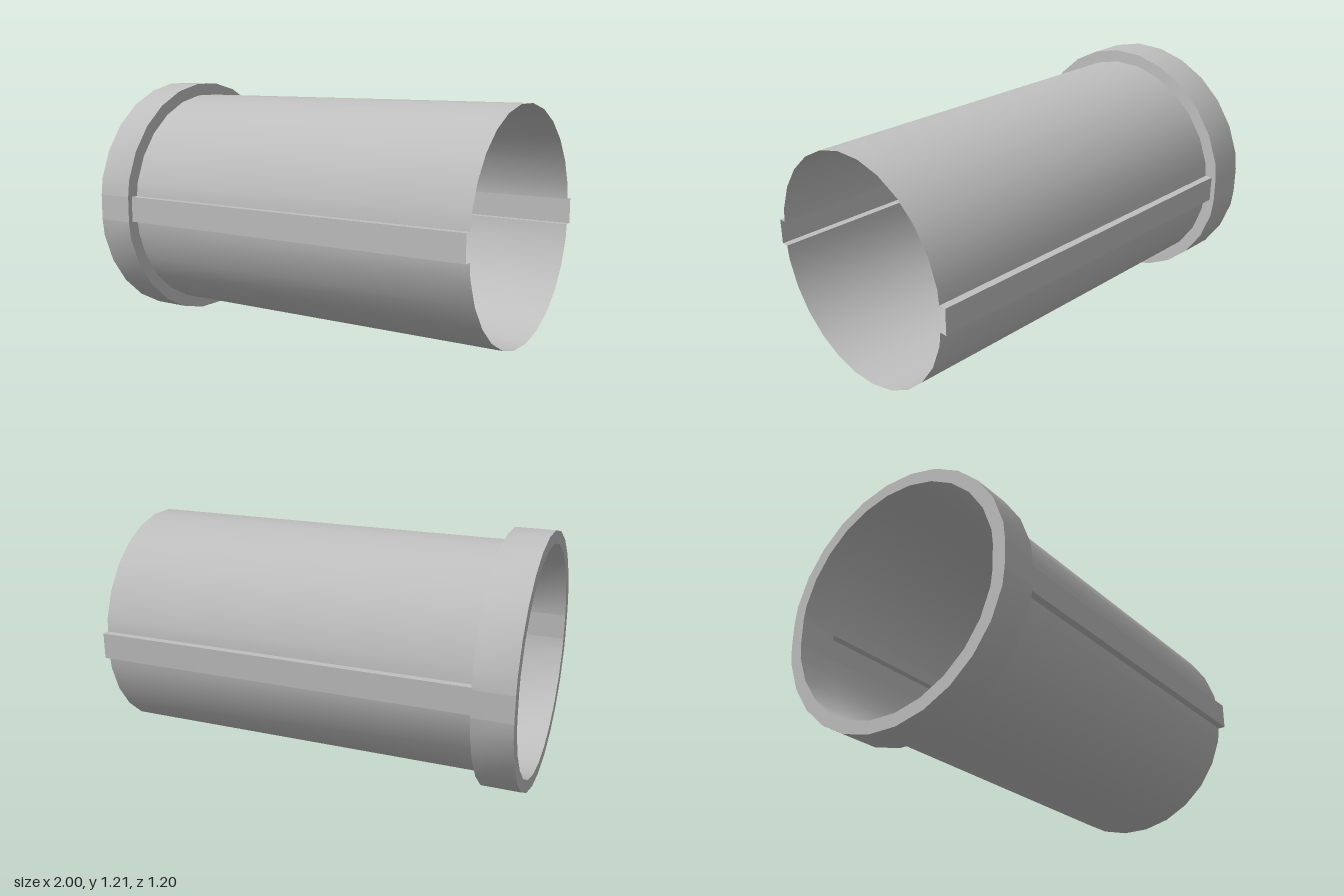
import * as THREE from 'three';
import { mergeGeometries } from 'three/addons/utils/BufferGeometryUtils.js';

const SIDES = 26, STEP = (Math.PI * 2) / SIDES;
const OUTER = 0.607, INNER = 0.547;      // collar radius, tube radius
const RIB_Y = 0.062, RIB_Z = 0.575;      // rib half width and reach
const X0 = -1, X1 = -0.815, X2 = 1;      // collar start, collar end, tube end

// z of the polygon's side where it meets the rib edge
const edgeZ = (r) => r - (RIB_Y * (1 - Math.cos(STEP))) / Math.sin(STEP);

// Upper arc of the section as [z, y], from the front rib to the back rib
function arc(r) {
  const pts = [[edgeZ(r), RIB_Y]];
  for (let i = 1; i < SIDES / 2; i++) pts.push([r * Math.cos(i * STEP), r * Math.sin(i * STEP)]);
  pts.push([-edgeZ(r), RIB_Y]);
  return pts;
}
const turn = (pts) => pts.map(([z, y]) => [-z, -y]);

// Sweep a section along x, smooth along the section
function strip(pts, xa, xb) {
  const pos = [], idx = [];
  pts.forEach(([z, y], i) => {
    pos.push(xa, y, z, xb, y, z);
    const a = i * 2;
    if (i < pts.length - 1) idx.push(a, a + 1, a + 3, a, a + 3, a + 2);
  });
  const g = new THREE.BufferGeometry();
  g.setAttribute('position', new THREE.Float32BufferAttribute(pos, 3));
  g.setIndex(idx);
  g.computeVertexNormals();
  return g;
}

// Two smooth arcs joined by flat facets at the sides
function wall(r, xa, xb, inward) {
  const up = arc(r), z = edgeZ(r);
  const flat = [[z, -RIB_Y], [z, RIB_Y]];
  const parts = [up, turn(up), flat, turn(flat)];
  return mergeGeometries(parts.map((p) => strip(inward ? [...p].reverse() : p, xa, xb)));
}

// Flat ring closing the collar
function ringCap(x, dir) {
  const outline = (r) => [...arc(r), ...turn(arc(r))].map(([z, y]) => new THREE.Vector2(z, y));
  const shape = new THREE.Shape(outline(OUTER));
  shape.holes.push(new THREE.Path(outline(INNER)));
  return new THREE.ShapeGeometry(shape).rotateY((dir * Math.PI) / 2).translate(x, 0, 0);
}

export function createModel() {
  const group = new THREE.Group();
  const grey = new THREE.MeshStandardMaterial({ color: 0xc0c0c0, side: THREE.DoubleSide });
  grey.name = 'light grey';
  const add = (name, geometry) => {
    const mesh = new THREE.Mesh(geometry, grey);
    mesh.name = name;
    mesh.position.y = 0.603;
    group.add(mesh);
  };

  // Collar
  add('collarOuterWall', wall(OUTER, X0, X1, false));
  add('collarInnerWall', wall(INNER, X0, X1, true));
  add('collarEndFace', ringCap(X0, -1));
  add('collarShoulder', ringCap(X1, 1));

  // Thin tube shells
  add('tubeUpperShell', strip(arc(INNER), X1, X2));
  add('tubeLowerShell', strip(turn(arc(INNER)), X1, X2));

  // Hollow ribs that bulge out of the tube
  const z = edgeZ(INNER);
  const rib = [[z, -RIB_Y], [RIB_Z, -RIB_Y], [RIB_Z, RIB_Y], [z, RIB_Y]];
  const ribGeometry = (pts) =>
    mergeGeometries([0, 1, 2].map((i) => strip(pts.slice(i, i + 2), X1, X2)));
  add('frontRib', ribGeometry(rib));
  add('backRib', ribGeometry(turn(rib)));

  return group;
}
